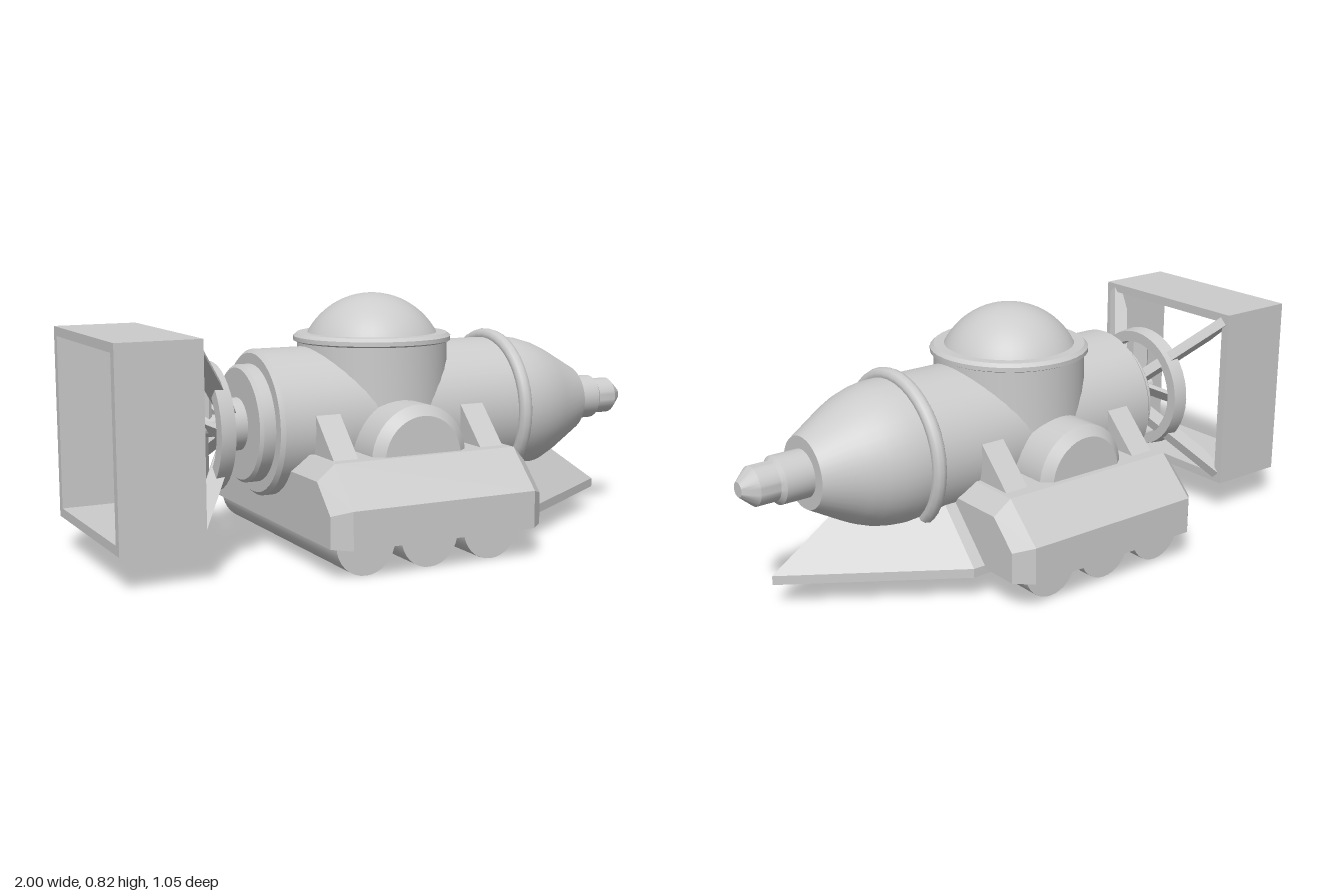
import * as THREE from 'three';
import { toCreasedNormals } from 'three/addons/utils/BufferGeometryUtils.js';
import { ConvexGeometry } from 'three/addons/geometries/ConvexGeometry.js';

export function createModel() {
  const model = new THREE.Group();
  const mat = new THREE.MeshStandardMaterial({ color: 0xcccccc });
  const AXIS = 0.42; // height of the hull axis

  function add(name, geometry, x = 0, y = 0, z = 0) {
    const mesh = new THREE.Mesh(geometry, mat);
    mesh.name = name;
    mesh.position.set(x, y, z);
    model.add(mesh);
    return mesh;
  }
  // Turned shape from [radius, height] pairs, upright, with crisp steps
  const turned = (pts, seg = 40) =>
    toCreasedNormals(new THREE.LatheGeometry(pts.map(p => new THREE.Vector2(...p)), seg), 0.5);
  // Turned shape lying along x, from [x, radius] pairs
  const turnedX = pts => turned(pts.map(([x, r]) => [r, x])).rotateZ(-Math.PI / 2);
  // Faceted solid around corner points
  const hull = pts => new ConvexGeometry(pts.map(p => new THREE.Vector3(...p)));

  // Hull with its stepped tail
  add('hull', turnedX([
    [-0.5, 0], [-0.5, 0.18], [-0.49, 0.19], [-0.45, 0.19], [-0.45, 0.225],
    [-0.437, 0.237], [0.46, 0.237], [0.46, 0]]), 0, AXIS);

  // Curved nose and stepped tip
  add('nose', turnedX([
    [0.44, 0], [0.44, 0.237], [0.5, 0.236], [0.55, 0.228], [0.6, 0.213], [0.65, 0.19],
    [0.78, 0.117], [0.78, 0.077], [0.875, 0.077], [0.888, 0.063],
    [0.955, 0.063], [1, 0.024], [1, 0]]), 0, AXIS);
  add('noseRing', new THREE.TorusGeometry(0.242, 0.024, 10, 40).rotateY(Math.PI / 2), 0.442, AXIS);

  // Tower, rim and dome
  const towerX = -0.015;
  add('tower', turned([
    [0, 0.34], [0.25, 0.34], [0.25, 0.665], [0.262, 0.67],
    [0.262, 0.684], [0.25, 0.695], [0.215, 0.695], [0, 0.695]]), towerX);
  const domeR = 0.243;
  add('dome', new THREE.SphereGeometry(domeR, 40, 14, 0, Math.PI * 2, 0, Math.acos(0.11 / domeR)), towerX, 0.825 - domeR);

  // Side pods, one cross cylinder with bevelled ends
  add('sidePods', turned([
    [0, -0.38], [0.135, -0.38], [0.168, -0.352], [0.168, 0.352],
    [0.135, 0.38], [0, 0.38]]).rotateX(Math.PI / 2), -0.032, 0.328);

  // Bevelled chassis
  const chassis = [];
  const wide = [[0.525, 0.1], [0.525, 0.22], [0.4, 0.342]];
  const narrow = [[0.475, 0.1], [0.475, 0.2], [0.385, 0.29]];
  for (const [xs, outline] of [[[-0.353, 0.29], wide], [[-0.405, 0.343], narrow]])
    for (const x of xs)
      for (const [z, y] of outline) chassis.push([x, y, z], [x, y, -z]);
  add('chassis', hull(chassis));

  // Sloped braces between chassis and hull
  for (const side of [-1, 1])
    for (const x of [-0.293, 0.232]) {
      const pts = [];
      for (const dx of [-0.042, 0.042])
        for (const [z, y] of [[0.365, 0.335], [0.235, 0.465], [0.2, 0.465], [0.2, 0.335]])
          pts.push([x + dx, y, z * side]);
      add('brace', hull(pts));
    }

  // Rollers
  for (const x of [-0.275, -0.052, 0.172])
    add('roller', toCreasedNormals(
      new THREE.CylinderGeometry(0.1, 0.1, 0.91, 32).rotateX(Math.PI / 2), 0.6), x, 0.1);

  // Pointed plow below the nose
  const plow = [[0.34, 0.47, 0], [0.38, 0.47, 0]];
  for (const y of [0.08, 0.11])
    plow.push([0.905, y, 0], [0.385, y, 0.338], [0.385, y, -0.338], [0.3, y, 0.338], [0.3, y, -0.338]);
  add('plow', hull(plow));

  // Tail shaft and propeller ring
  add('tailShaft', turnedX([
    [-0.65, 0], [-0.65, 0.035], [-0.55, 0.035], [-0.55, 0.085], [-0.49, 0.085], [-0.49, 0]]), 0, AXIS);
  add('propellerRing', turnedX([
    [-0.59, 0.17], [-0.64, 0.17], [-0.64, 0.213], [-0.59, 0.207], [-0.59, 0.17]]), 0, AXIS);
  for (let i = 0; i < 4; i++) {
    const blade = new THREE.BoxGeometry(0.015, 0.17, 0.05);
    blade.rotateY(0.6).translate(0, 0.1, 0).rotateX(i * Math.PI / 2);
    add('propellerBlade', blade, -0.615, AXIS);
  }

  // Open square tail frame
  const square = (path, s) => path.moveTo(-s, -s).lineTo(s, -s).lineTo(s, s).lineTo(-s, s).closePath();
  const frame = square(new THREE.Shape(), 0.31) || null;
  const outer = new THREE.Shape([[-1, -1], [1, -1], [1, 1], [-1, 1]].map(([a, b]) => new THREE.Vector2(a * 0.31, b * 0.31)));
  outer.holes.push(new THREE.Path([[-1, -1], [-1, 1], [1, 1], [1, -1]].map(([a, b]) => new THREE.Vector2(a * 0.28, b * 0.28))));
  add('tailFrame', new THREE.ExtrudeGeometry(outer, { depth: 0.27, bevelEnabled: false }).rotateY(Math.PI / 2), -1, AXIS);

  // Diagonal struts from the shaft to the frame corners
  for (const sy of [-1, 1])
    for (const sz of [-1, 1]) {
      const pts = [];
      for (const [x, r] of [[-0.73, 0.285], [-0.76, 0.285], [-0.73, 0.215], [-0.535, 0.06], [-0.57, 0.03], [-0.535, 0.03]])
        for (const t of [-0.012, 0.012]) pts.push([x, (r + t) * sy, (r - t) * sz]);
      add('frameStrut', hull(pts), 0, AXIS);
    }

  return model;
}
